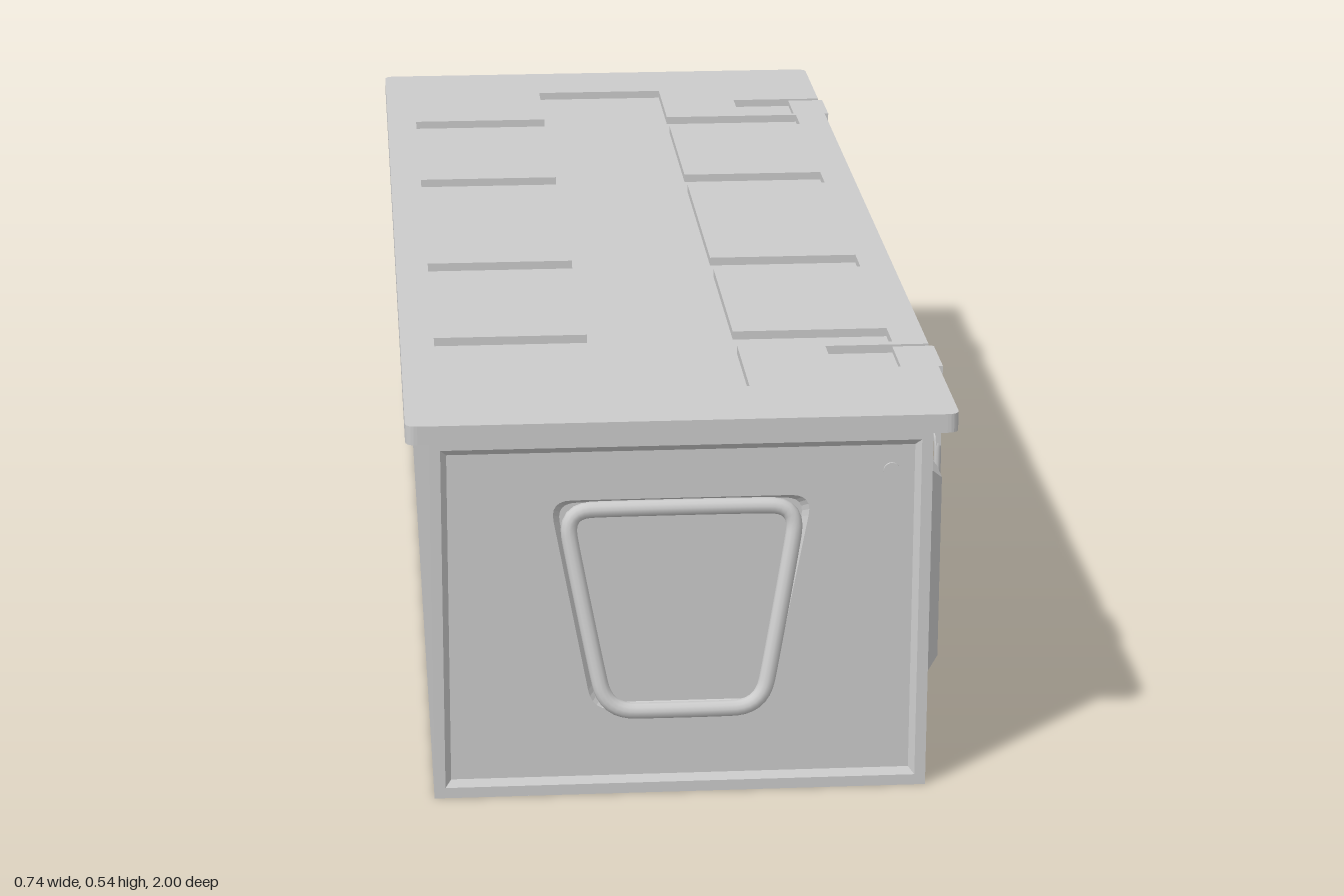
import * as THREE from 'three';

const mat = new THREE.MeshStandardMaterial({ color: 0xcccccc, side: THREE.DoubleSide });
const CX = -0.005, ZB = -0.842, ZF = 0.945, BODY_TOP = 0.517, LID_TOP = 0.543;
const LATCHES = [0.718, -0.626];

function add(parent, name, geometry, x = 0, y = 0, z = 0) {
  const m = new THREE.Mesh(geometry, mat);
  m.name = name;
  m.position.set(x, y, z);
  parent.add(m);
  return m;
}

function box(parent, name, x0, x1, y0, y1, z0, z1) {
  return add(parent, name, new THREE.BoxGeometry(x1 - x0, y1 - y0, z1 - z0),
    (x0 + x1) / 2, (y0 + y1) / 2, (z0 + z1) / 2);
}

// counter-clockwise corner loops
const rect = (x0, x1, y0, y1) => [[x0, y0], [x1, y0], [x1, y1], [x0, y1]].map(p => new THREE.Vector2(...p));
const trapezoid = (wTop, wBottom, y0, y1) =>
  [[-wBottom, y0], [wBottom, y0], [wTop, y1], [-wTop, y1]].map(p => new THREE.Vector2(...p));

// round every corner of a loop
function rounded(corners, r, steps = 6) {
  const out = [], n = corners.length;
  corners.forEach((c, i) => {
    const toward = q => c.clone().add(q.clone().sub(c).setLength(r));
    const curve = new THREE.QuadraticBezierCurve(toward(corners[(i + n - 1) % n]), c, toward(corners[(i + 1) % n]));
    out.push(...curve.getPoints(steps));
  });
  return out;
}

// flat face in the XY plane with an optional opening
function face(outline, hole) {
  const s = new THREE.Shape(outline);
  if (hole) s.holes.push(new THREE.Path(hole));
  return new THREE.ShapeGeometry(s);
}

// sloping walls between two loops with equal point counts
function walls(a, za, b, zb) {
  const pos = [];
  a.forEach((p, i) => {
    const j = (i + 1) % a.length;
    const A = [p.x, p.y, za], B = [a[j].x, a[j].y, za];
    const C = [b[j].x, b[j].y, zb], D = [b[i].x, b[i].y, zb];
    pos.push(...A, ...B, ...C, ...A, ...C, ...D);
  });
  const g = new THREE.BufferGeometry();
  g.setAttribute('position', new THREE.Float32BufferAttribute(pos, 3));
  g.computeVertexNormals();
  return g;
}

// end of the box: rimmed panel, handle pocket, stud and swinging bail handle
function endPanel(name, studX, tilt) {
  const g = new THREE.Group();
  g.name = name;
  const d1 = -0.008, d2 = -0.018;
  const rimOut = rect(-0.32, 0.32, 0.015, 0.5), rimIn = rect(-0.312, 0.312, 0.024, 0.491);
  const pocketOut = rounded(trapezoid(0.176, 0.12, 0.12, 0.423), 0.03);
  const pocketIn = rounded(trapezoid(0.167, 0.113, 0.127, 0.416), 0.028);
  add(g, 'endRim', face(rect(-0.335, 0.335, 0, BODY_TOP), rimOut));
  add(g, 'endRimBevel', walls(rimOut, 0, rimIn, d1));
  add(g, 'endPanel', face(rimIn, pocketOut), 0, 0, d1);
  add(g, 'handlePocketWall', walls(pocketOut, d1, pocketIn, d2));
  add(g, 'handlePocketFloor', face(pocketIn), 0, 0, d2);
  const stud = add(g, 'stud', new THREE.CylinderGeometry(0.011, 0.011, 0.006, 24), studX, 0.455, d1);
  stud.rotation.x = Math.PI / 2;

  // handle hangs from its top bar
  const loop = rounded(trapezoid(0.157, 0.105, -0.274, 0), 0.04, 8).map(p => new THREE.Vector3(p.x, p.y, 0));
  const curve = new THREE.CatmullRomCurve3(loop, true, 'centripetal');
  const handle = add(g, 'handle', new THREE.TubeGeometry(curve, 120, 0.011, 12, true), 0, 0.41, -0.006);
  handle.rotation.x = -tilt;
  return g;
}

// long side with a sloped recess, built facing +z
function latchSide() {
  const g = new THREE.Group();
  g.name = 'latchSide';
  const outer = rect(-0.244, 0.142, 0.11, 0.435), inner = rect(-0.2, 0.1, 0.137, 0.41);
  add(g, 'sideWall', face(rect(-ZF, -ZB, 0, BODY_TOP), outer));
  add(g, 'sideRecessWall', walls(outer, 0, inner, -0.032));
  add(g, 'sideRecessFloor', face(inner), 0, 0, -0.032);
  // pairs of bevelled guard ribs beside each latch
  for (const z of LATCHES) for (const s of [-1, 1]) {
    const c = -z + s * 0.089, w = 0.044;
    const base = rect(c - w, c + w, 0.122, 0.424), top = rect(c - w + 0.02, c + w - 0.02, 0.142, 0.404);
    add(g, 'guardRibSide', walls(base, 0, base, 0.011));
    add(g, 'guardRibBevel', walls(base, 0.011, top, 0.03));
    add(g, 'guardRibTop', face(top), 0, 0, 0.03);
  }
  return g;
}

function lid() {
  const g = new THREE.Group();
  g.name = 'lid';
  const x0 = -0.371, x1 = 0.361, z0 = -0.876, z1 = 0.969, r = 0.016, mid = 0.531;
  const slab = (shape, depth, y, name) => {
    const geo = new THREE.ExtrudeGeometry(shape, { depth, bevelEnabled: false });
    add(g, name, geo.rotateX(-Math.PI / 2), 0, y, 0);
  };
  slab(new THREE.Shape(rounded(rect(x0, x1, -z1, -z0), r)), mid - BODY_TOP, BODY_TOP, 'lidBase');

  // upper layer: latch notches in the edge
  const ring = rounded(rect(x0, x1, -z1, -z0), r);
  const notches = LATCHES.flatMap(z => [[x1, -z - 0.048], [0.217, -z - 0.048], [0.217, -z + 0.048], [x1, -z + 0.048]])
    .map(p => new THREE.Vector2(...p));
  ring.splice(14, 0, ...notches);
  const top = new THREE.Shape(ring);

  // sunken spine with four cross arms
  const arms = [0.626, 0.27, -0.185, -0.54], right = [[0.095, -0.835]], left = [[-0.11, -0.835]];
  for (const z of arms) {
    const a = -z - 0.03, b = -z + 0.03;
    right.push([0.095, a], [0.312, a], [0.312, b], [0.095, b]);
    left.push([-0.11, a], [-0.324, a], [-0.324, b], [-0.11, b]);
  }
  right.push([0.095, 0.745]);
  left.push([-0.11, 0.745]);
  top.holes.push(new THREE.Path([...right, ...left.reverse()].map(p => new THREE.Vector2(...p))));
  slab(top, LID_TOP - mid, mid, 'lidTop');
  return g;
}

function latch(z) {
  const g = new THREE.Group();
  g.name = 'latch';
  // strap folded over the lid edge
  box(g, 'latchTopPlate', 0.31, 0.366, 0.533, 0.541, -0.045, 0.045);
  box(g, 'latchStrap', 0.361, 0.368, 0.425, 0.541, -0.044, 0.044);
  // wire loop below the strap
  const pts = rounded(rect(-0.04, 0.04, 0.378, 0.435), 0.012, 4).map(p => new THREE.Vector3(0.364, p.y, p.x));
  const curve = new THREE.CatmullRomCurve3(pts, true, 'centripetal');
  add(g, 'latchLoop', new THREE.TubeGeometry(curve, 64, 0.005, 8, true));
  // catch fixed to the wall
  box(g, 'latchCatch', 0.33, 0.35, 0.35, 0.375, -0.045, 0.045);
  box(g, 'latchCatchLip', 0.344, 0.352, 0.35, 0.392, -0.045, 0.045);
  g.position.z = z;
  return g;
}

export function createModel() {
  const model = new THREE.Group();
  model.name = 'storageCase';

  // plain faces of the body
  const zMid = (ZB + ZF) / 2, len = ZF - ZB;
  add(model, 'bottom', new THREE.PlaneGeometry(0.67, len).rotateX(Math.PI / 2), CX, 0, zMid);
  add(model, 'plainSide', new THREE.PlaneGeometry(len, BODY_TOP).rotateY(-Math.PI / 2), -0.34, BODY_TOP / 2, zMid);

  const side = latchSide();
  side.rotation.y = Math.PI / 2;
  side.position.x = 0.33;

  const front = endPanel('frontEnd', 0.281, 0.19);
  front.position.set(CX, 0, ZF);
  const back = endPanel('backEnd', -0.281, 0.57);
  back.position.set(CX, 0, ZB);
  back.rotation.y = Math.PI;

  model.add(side, front, back, lid(), ...LATCHES.map(latch));
  return model;
}
